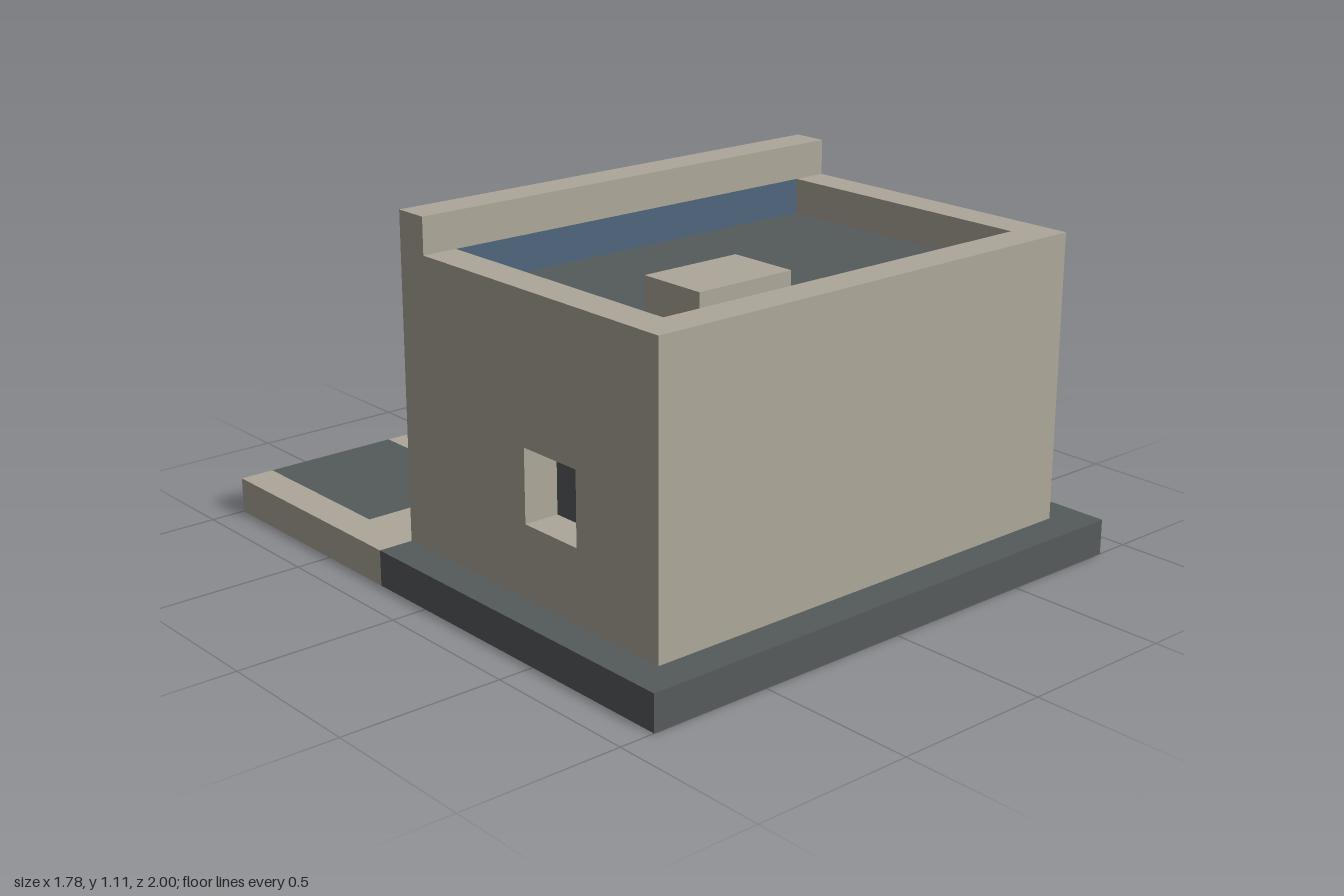
import * as THREE from 'three';

const U = 1 / 9; // building module

export function createModel() {
  const group = new THREE.Group();
  const material = (name, color) => {
    const m = new THREE.MeshStandardMaterial({ color });
    m.name = name;
    return m;
  };
  const stone = material('stone', 0xaca799);
  const slate = material('slate', 0x555a5b);
  const blue = material('blue', 0x4f667d);
  const wood = material('wood', 0xa88763);

  // Box between two corners, measured in modules
  const block = (name, mat, x0, x1, y0, y1, z0, z1) => {
    const mesh = new THREE.Mesh(
      new THREE.BoxGeometry((x1 - x0) * U, (y1 - y0) * U, (z1 - z0) * U), mat);
    mesh.position.set((x0 + x1) * U / 2, (y0 + y1) * U / 2, (z0 + z1) * U / 2);
    mesh.name = name;
    group.add(mesh);
    return mesh;
  };

  // Ground slab and terrace with three parking bays
  block('groundSlab', slate, -8, 8, 0, 1, -2, 9);
  block('terrace', stone, -8, 8, 0, 1, -4, -2);
  for (const x of [-5, 0, 5]) block('parkingBay', slate, x - 2, x + 2, 0, 1, -9, -4);
  for (const [a, b] of [[-8, -7], [-3, -2], [2, 3], [7, 8]]) {
    block('bayDivider', stone, a, b, 0, 1, -9, -4);
  }

  // Dark interior, whose top is the sunken roof
  block('interiorAndRoof', slate, -6, 6, 1, 8, -1, 7);
  block('roofUnit', stone, -4, -1, 8, 9, 4, 6);

  // Outer walls
  block('rearWall', stone, -7, 7, 1, 9, 7, 8);
  block('leftWall', stone, 6, 7, 1, 9, -1, 7);

  // Side wall with a window opening
  const rect = (target, z0, z1, y0, y1) => {
    target.moveTo(z0 * U, y0 * U);
    target.lineTo(z1 * U, y0 * U);
    target.lineTo(z1 * U, y1 * U);
    target.lineTo(z0 * U, y1 * U);
    target.closePath();
    return target;
  };
  const outline = rect(new THREE.Shape(), -1, 7, 1, 9);
  outline.holes.push(rect(new THREE.Path(), 3, 5, 3, 5));
  const rightWall = new THREE.Mesh(
    new THREE.ExtrudeGeometry(outline, { depth: U, bevelEnabled: false }), stone);
  rightWall.rotation.y = -Math.PI / 2;
  rightWall.position.x = -6 * U;
  rightWall.name = 'rightWall';
  group.add(rightWall);

  // Shop facade with its blue sign band
  for (const s of [-6.5, 6.5]) block('facadePier', stone, s - 0.5, s + 0.5, 1, 9, -2, -1);
  block('facadeParapet', stone, -7, 7, 9, 10, -2, -1);
  block('signBand', blue, -6, 6, 7, 9, -2, -1);
  block('lintel', slate, -6, 6, 6, 7, -2, -1);
  block('awning', slate, -6, 6, 6, 7, -3, -2);

  // Shop front posts, wooden door and recessed entrance
  for (const x of [-6, -3, 3, 5]) block('shopPost', slate, x, x + 1, 1, 6, -2, -1);
  block('woodenDoor', wood, -5, -3, 1, 6, -2, -1);
  block('entranceFrame', blue, -1, 1, 1, 6, -1.04, -1);
  block('entrancePanel', stone, -0.82, 0.82, 1, 6, -1.07, -1.04);
  block('hangingLamp', slate, 0, 1, 5, 6, -2, -1.5);

  // Terrace furniture
  block('planter', stone, 2, 5, 1, 3, -3, -2);
  block('terraceBollard', slate, 5, 6, 1, 4, -3, -2);

  return group;
}
